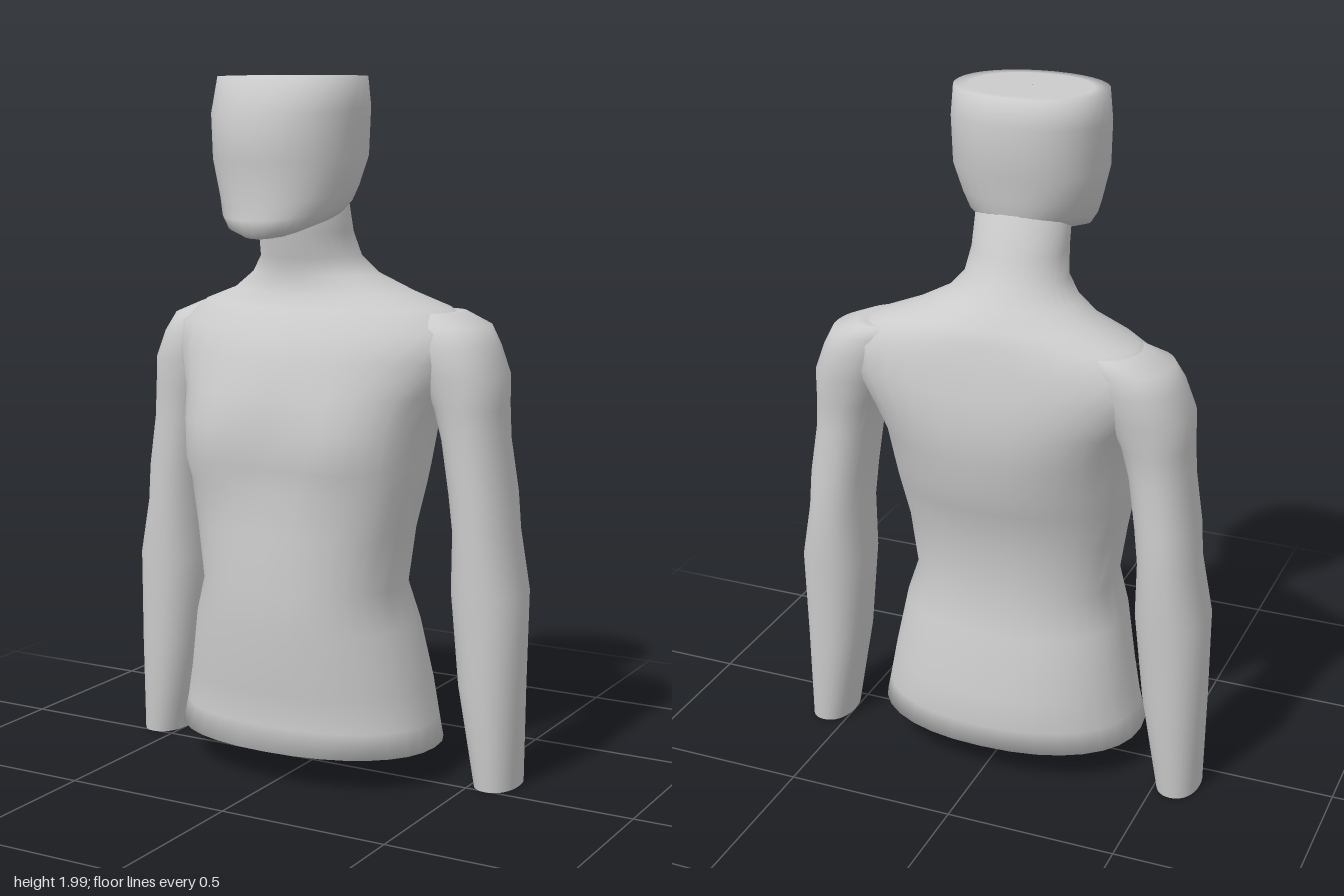
import * as THREE from 'three';

const material = new THREE.MeshStandardMaterial({ color: 0xcccccc });
const SEGMENTS = 32;

// Superellipse coordinate with sign
const power = (v, n) => Math.sign(v) * Math.pow(Math.abs(v), 2 / n);

// Loft closed rings from bottom to top; each end closes with an inset ring and a centre.
// ring: yFront, yBack, cx, halfWidth, cz, zFront, zBack, nFront, nBack
function loft(name, rings, shape) {
  const inset = (r, s) => {
    const mid = (r.zFront + r.zBack) / 2;
    return {
      ...r, halfWidth: r.halfWidth * s, cz: mid + (r.cz - mid) * s,
      zFront: mid + (r.zFront - mid) * s, zBack: mid + (r.zBack - mid) * s,
    };
  };
  const first = rings[0], last = rings[rings.length - 1];
  const all = [inset(first, 0.001), inset(first, 0.8), ...rings, inset(last, 0.8), inset(last, 0.001)];
  const positions = [], index = [];
  all.forEach((r, i) => {
    for (let j = 0; j < SEGMENTS; j++) {
      const a = (j / SEGMENTS) * Math.PI * 2;
      const front = Math.sin(a) >= 0;
      const n = front ? r.nFront : r.nBack;
      const x = r.cx + r.halfWidth * power(Math.cos(a), n);
      const depth = front ? r.zFront - r.cz : r.cz - r.zBack;
      const z = r.cz + depth * power(Math.sin(a), n);
      const t = (z - r.zBack) / Math.max(r.zFront - r.zBack, 1e-6);
      const p = new THREE.Vector3(x, r.yBack + (r.yFront - r.yBack) * t, z);
      if (shape) shape(p, front ? Math.sin(a) : 0);
      positions.push(p.x, p.y, p.z);
      if (i === all.length - 1) continue;
      const k = (j + 1) % SEGMENTS;
      const p0 = i * SEGMENTS + j, p1 = i * SEGMENTS + k;
      index.push(p0, p0 + SEGMENTS, p1, p1, p0 + SEGMENTS, p1 + SEGMENTS);
    }
  });
  const geometry = new THREE.BufferGeometry();
  geometry.setAttribute('position', new THREE.Float32BufferAttribute(positions, 3));
  geometry.setIndex(index);
  geometry.computeVertexNormals();
  const mesh = new THREE.Mesh(geometry, material);
  mesh.name = name;
  return mesh;
}

// Torso and neck: y, halfWidth, cz, zFront, zBack, nFront, nBack
function torso() {
  const rows = [
    [0.11, 0.405, -0.01, 0.265, -0.28, 2.2, 2.2],
    [0.18, 0.39, -0.01, 0.25, -0.28, 2.2, 2.2],
    [0.28, 0.37, -0.01, 0.26, -0.28, 2.2, 2.2],
    [0.46, 0.335, 0, 0.275, -0.235, 2.3, 2.2],
    [0.57, 0.30, 0.01, 0.27, -0.215, 2.4, 2.2],
    [0.73, 0.325, 0.01, 0.265, -0.215, 2.4, 2.2],
    [0.86, 0.35, 0, 0.247, -0.255, 2.6, 2.2],
    [0.92, 0.36, 0, 0.26, -0.275, 2.7, 2.2],
    [1.03, 0.37, -0.02, 0.26, -0.295, 2.7, 2.3],
    [1.12, 0.40, -0.06, 0.25, -0.303, 2.3, 2.4],
    [1.22, 0.46, -0.09, 0.222, -0.293, 2, 2.4],
    [1.30, 0.475, -0.1, 0.185, -0.275, 1.9, 2.4],
    [1.36, 0.39, -0.1, 0.135, -0.262, 1.9, 2.2],
    [1.40, 0.28, -0.09, 0.11, -0.245, 2, 2],
    [1.45, 0.19, -0.06, 0.1, -0.205, 2, 2],
    [1.50, 0.147, -0.03, 0.11, -0.165, 2, 2],
    [1.57, 0.137, 0, 0.13, -0.125, 2, 2],
    [1.69, 0.135, 0.03, 0.15, -0.085, 2, 2],
  ];
  const rings = rows.map(([y, halfWidth, cz, zFront, zBack, nFront, nBack]) =>
    ({ yFront: y, yBack: y, cx: y > 1.4 ? -0.02 : -0.008, halfWidth, cz, zFront, zBack, nFront, nBack }));
  // Chest muscles swell on either side of the breastbone
  return loft('torso', rings, (p, front) => {
    const dx = (Math.abs(p.x + 0.008) - 0.19) / 0.11, dy = (p.y - 0.97) / 0.1;
    p.z += front * 0.022 * Math.exp(-dx * dx - dy * dy);
  });
}

// Arm: y, inner x, outer x, zFront, zBack
function arm(side, name) {
  const rows = [
    [0.01, 0.5, 0.625, 0.007, -0.183],
    [0.3, 0.447, 0.63, 0.022, -0.195],
    [0.57, 0.42, 0.632, 0.03, -0.213],
    [0.74, 0.425, 0.597, 0.032, -0.22],
    [0.85, 0.412, 0.59, 0.033, -0.215],
    [1.0, 0.39, 0.567, 0.035, -0.21],
    [1.09, 0.365, 0.563, 0.04, -0.215],
    [1.18, 0.32, 0.561, 0.05, -0.23],
    [1.26, 0.28, 0.53, 0.05, -0.235],
    [1.315, 0.26, 0.5, 0.03, -0.23],
    [1.35, 0.25, 0.42, -0.01, -0.21],
  ];
  const rings = rows.map(([y, inner, outer, zFront, zBack]) => ({
    yFront: y, yBack: y, cx: side * (inner + outer) / 2, halfWidth: (outer - inner) / 2,
    cz: (zFront + zBack) / 2, zFront, zBack, nFront: 2.2, nBack: 2.2,
  }));
  return loft(name, rings);
}

// Head: yFront, yBack, halfWidth, cz, zFront, zBack
function head() {
  const rows = [
    [1.56, 1.65, 0.105, 0.12, 0.275, -0.06],
    [1.575, 1.66, 0.15, 0.11, 0.295, -0.08],
    [1.61, 1.68, 0.172, 0.1, 0.305, -0.088],
    [1.655, 1.72, 0.19, 0.09, 0.288, -0.093],
    [1.77, 1.79, 0.217, 0.08, 0.298, -0.103],
    [1.89, 1.93, 0.219, 0.08, 0.307, -0.122],
    [2, 2, 0.218, 0.08, 0.25, -0.085],
  ];
  return loft('head', rows.map(([yFront, yBack, halfWidth, cz, zFront, zBack]) =>
    ({ yFront, yBack, cx: -0.02, halfWidth, cz, zFront, zBack, nFront: 2.1, nBack: 2.2 })));
}

export function createModel() {
  const group = new THREE.Group();
  group.name = 'bust';
  group.add(torso(), head(), arm(1, 'leftArm'), arm(-1, 'rightArm'));
  return group;
}
